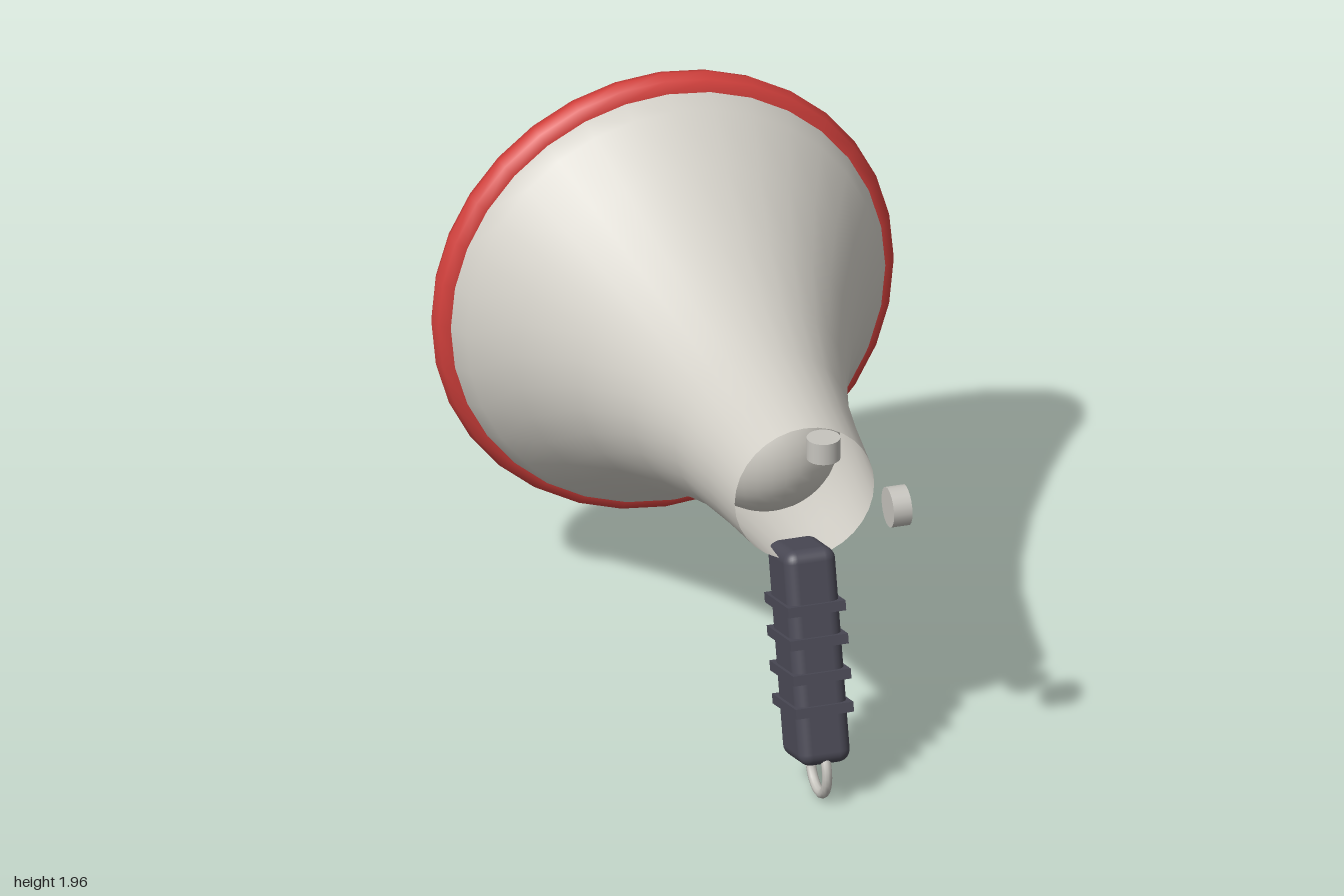
import * as THREE from 'three';
import { RoundedBoxGeometry } from 'three/addons/geometries/RoundedBoxGeometry.js';

export function createModel() {
  const model = new THREE.Group();
  const mat = (name, color, side = THREE.FrontSide) => {
    const m = new THREE.MeshStandardMaterial({ color, side });
    m.name = name;
    return m;
  };
  const shell = mat('warm light grey', 0xd2cfc7, THREE.DoubleSide);
  const red = mat('red', 0xd2403c);
  const dark = mat('dark slate', 0x4b4a56);
  const metal = mat('metal grey', 0xc6c4be);

  const add = (parent, name, geometry, material, x = 0, y = 0, z = 0) => {
    const mesh = new THREE.Mesh(geometry, material);
    mesh.name = name;
    mesh.position.set(x, y, z);
    parent.add(mesh);
    return mesh;
  };
  const axisY = 1.11;

  // Flared horn, open at both ends: [radius, z]
  const profile = [
    [0.257, 0.71], [0.283, 0.48], [0.322, 0.22], [0.395, -0.04],
    [0.505, -0.32], [0.645, -0.6], [0.765, -0.8], [0.8, -0.87], [0.8, -0.93],
  ].map(([r, z]) => new THREE.Vector2(r, -z));
  const horn = add(model, 'horn', new THREE.LatheGeometry(profile, 32), shell, 0, axisY, 0);
  horn.rotation.x = -Math.PI / 2;

  // Round driver inside the throat
  add(model, 'driver', new THREE.SphereGeometry(0.268, 32, 20), shell, 0, axisY, 0.24);

  // Padded rim around the mouth
  add(model, 'rim', new THREE.TorusGeometry(0.784, 0.067, 10, 32), red, 0, axisY, -0.935);

  // Control knobs
  add(model, 'topKnob', new THREE.CylinderGeometry(0.06, 0.06, 0.08, 20), metal, 0, 1.4, 0.93);
  const sideKnob = add(model, 'sideKnob',
    new THREE.CylinderGeometry(0.073, 0.073, 0.068, 20), metal, 0.272, 1.125, 0.927);
  sideKnob.rotation.z = -Math.PI / 2;

  // Tilted grip with raised ribs
  const handle = new THREE.Group();
  handle.name = 'handle';
  handle.position.set(0, 0.515, 0.763);
  handle.rotation.x = -0.248;
  model.add(handle);
  add(handle, 'grip', new RoundedBoxGeometry(0.19, 0.78, 0.255, 4, 0.045), dark);
  for (const y of [0.18, 0.06, -0.067, -0.187]) {
    add(handle, 'gripRib', new THREE.BoxGeometry(0.212, 0.036, 0.285), dark, 0, y, 0);
  }

  // Wedge trigger, drawn in the side plane
  const side = new THREE.Shape([
    new THREE.Vector2(0.56, 0.785), new THREE.Vector2(0.64, 0.575), new THREE.Vector2(0.512, 0.604),
  ]);
  const trigger = new THREE.ExtrudeGeometry(side, { depth: 0.1, bevelEnabled: false });
  trigger.translate(0, 0, -0.05).rotateY(-Math.PI / 2);
  add(model, 'trigger', trigger, red);

  // Lanyard ring at the foot of the grip
  const ring = add(model, 'lanyardRing',
    new THREE.TorusGeometry(0.098, 0.018, 10, 28), metal, 0, 0.116, 0.875);
  ring.rotation.y = Math.PI / 2;

  return model;
}
